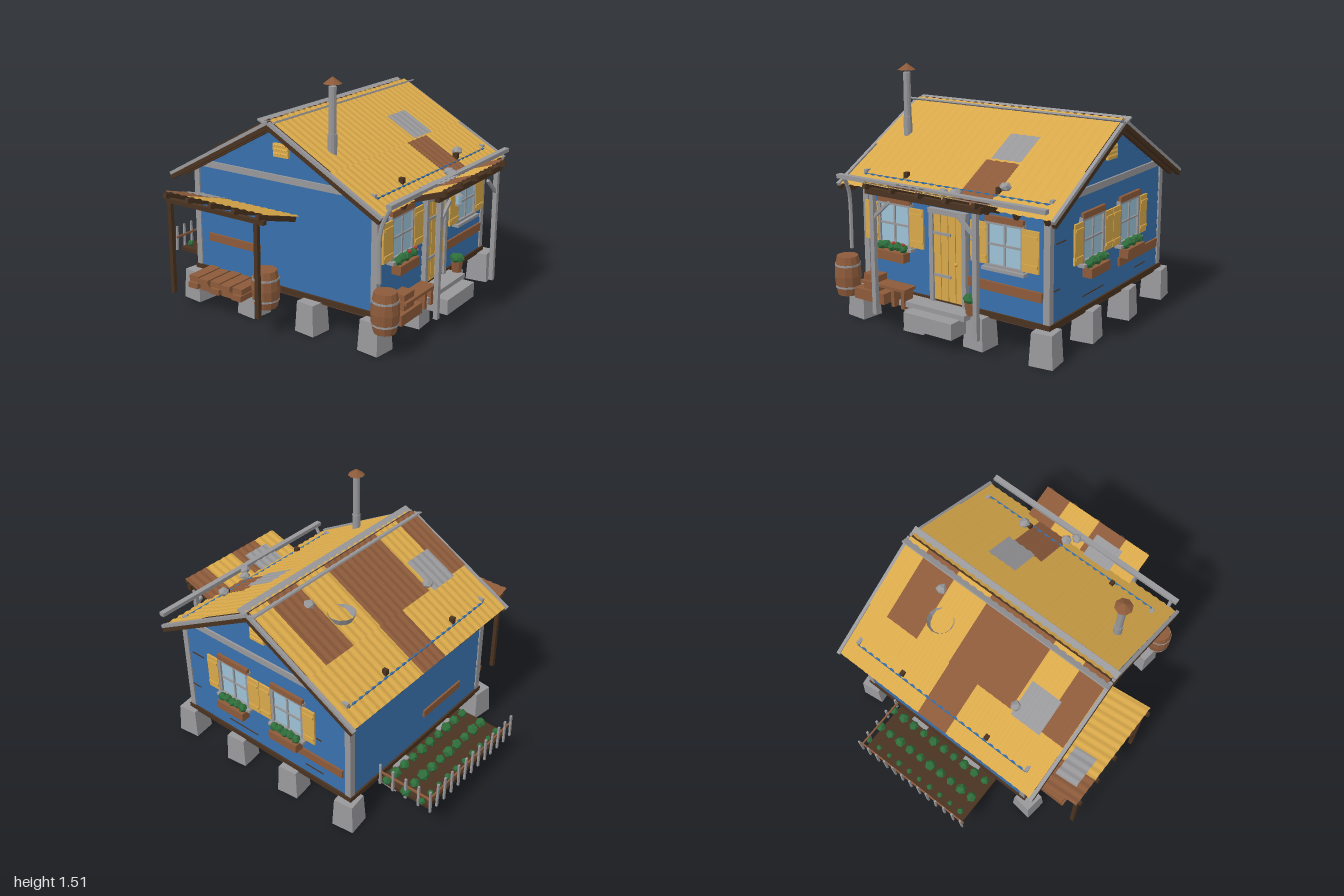
import * as THREE from 'three';

const mat = (name, color, side = THREE.FrontSide) =>
  Object.assign(new THREE.MeshStandardMaterial({ color, flatShading: true, side }), { name });
const M = {
  blue: mat('bluePaint', 0x366ca6),
  yellow: mat('yellowPaint', 0xd8a84a, THREE.DoubleSide),
  brown: mat('rustBrown', 0x8c5a3a, THREE.DoubleSide),
  floor: mat('floorWood', 0x644230),
  dark: mat('darkWood', 0x4a3220),
  grey: mat('weatheredGrey', 0x98979a, THREE.DoubleSide),
  glass: mat('glass', 0x9cc2d6),
  green: mat('leafGreen', 0x2f6e3b),
  red: mat('flowerRed', 0xb23a34),
};

function add(parent, name, geo, m, x = 0, y = 0, z = 0, rx = 0, ry = 0, rz = 0) {
  const mesh = new THREE.Mesh(geo, m);
  mesh.name = name;
  mesh.position.set(x, y, z);
  mesh.rotation.set(rx, ry, rz);
  parent.add(mesh);
  return mesh;
}
const box = (p, n, m, w, h, d, x, y, z, rx, ry, rz) => add(p, n, new THREE.BoxGeometry(w, h, d), m, x, y, z, rx, ry, rz);
// box given by its minimum and maximum corners
const span = (p, n, m, x0, x1, y0, y1, z0, z1) =>
  box(p, n, m, x1 - x0, y1 - y0, z1 - z0, (x0 + x1) / 2, (y0 + y1) / 2, (z0 + z1) / 2);
function group(parent, name, x = 0, y = 0, z = 0, rx = 0, ry = 0) {
  const g = new THREE.Group();
  g.name = name;
  g.position.set(x, y, z);
  g.rotation.set(rx, ry, 0, 'YXZ');
  parent.add(g);
  return g;
}
function blob(p, n, m, r, x, y, z, sy = 0.8) {
  const b = add(p, n, new THREE.IcosahedronGeometry(r, 0), m, x, y, z, 0, x * 17 + z * 31);
  b.scale.y = sy;
}
// corrugated sheet lying in the local xz plane, ridges along z
function sheet(p, m, x0, x1, z0, z1, lift = 0) {
  const w = x1 - x0, cx = (x0 + x1) / 2;
  const g = new THREE.PlaneGeometry(w, z1 - z0, Math.max(4, Math.round(w / 0.01)), 1).rotateX(-Math.PI / 2);
  const a = g.attributes.position;
  for (let i = 0; i < a.count; i++) a.setY(i, 0.0032 * Math.sin(((a.getX(i) + cx) * Math.PI * 2) / 0.055));
  g.computeVertexNormals();
  add(p, 'corrugatedSheet', g, m, cx, lift, (z0 + z1) / 2);
}

// window facing local +z, with shutters and an optional flower box
function windowUnit(parent, x, y, z, ry, flowerBox, sw, flowers = []) {
  const g = group(parent, 'window', x, y, z, 0, ry);
  span(g, 'glass', M.glass, -0.11, 0.11, -0.12, 0.12, 0, 0.012);
  for (const s of [-1, 1]) {
    box(g, 'frameSide', M.grey, 0.022, 0.27, 0.025, s * 0.117, 0, 0.012);
    box(g, 'frameRail', M.grey, 0.25, 0.022, 0.025, 0, s * 0.125, 0.012);
    const sh = group(g, 'shutter', s * 0.17, 0, 0.022);
    box(sh, 'shutterPanel', M.yellow, sw, 0.235, 0.012, 0, 0, 0);
    for (const t of [-1, 1]) box(sh, 'shutterBatten', M.yellow, sw - 0.01, 0.016, 0.008, 0, t * 0.08, 0.009);
  }
  box(g, 'muntin', M.grey, 0.012, 0.24, 0.016, 0, 0, 0.012);
  box(g, 'muntin', M.grey, 0.22, 0.012, 0.016, 0, 0, 0.012);
  box(g, 'header', M.brown, 0.25, 0.035, 0.02, 0, 0.145, 0.018);
  box(g, 'sill', M.grey, 0.28, 0.018, 0.045, 0, -0.138, 0.022);
  if (!flowerBox) return;
  box(g, 'flowerBox', M.brown, 0.215, 0.055, 0.06, 0, -0.183, 0.045);
  for (let i = 0; i < 5; i++) blob(g, 'plant', M.green, 0.029, -0.086 + i * 0.043, -0.132 + (i % 2) * 0.008, 0.045, 1);
  for (const fx of flowers) blob(g, 'flower', M.red, 0.012, fx, -0.104, 0.055, 1);
}

function barrel(parent, x, y, z, h, r) {
  const g = group(parent, 'barrel', x, y, z);
  const prof = [[0, 0], [0.78, 0], [0.94, 0.25], [1, 0.5], [0.94, 0.75], [0.78, 1], [0, 1]].map(([a, b]) => new THREE.Vector2(a * r, b * h));
  add(g, 'barrelBody', new THREE.LatheGeometry(prof, 12), M.brown);
  for (const t of [0.22, 0.78]) add(g, 'hoop', new THREE.CylinderGeometry(r * 0.94, r * 0.94, 0.012, 12), M.grey, 0, h * t, 0);
}

const A = 0.506, T = Math.tan(A), RY = 1.25, RZ = 0.062, L = 0.86;
const X0 = -0.52, X1 = 0.78, Z0 = -0.6, Z1 = 0.72, XC = 0.13;

function buildBody(root) {
  const g = group(root, 'house');
  // foundation blocks around the edge
  for (let i = 0; i < 4; i++) for (let j = 0; j < 4; j++) {
    if (i % 3 && j % 3) continue;
    const c = new THREE.CylinderGeometry(0.088, 0.101, 0.19, 4, 1).rotateY(Math.PI / 4);
    add(g, 'foundationBlock', c, M.grey, -0.54 + i * 0.437, 0.097, 0.73 - j * 0.437, 0, ((i * 3 + j * 5) % 5 - 2) * 0.06);
  }
  span(g, 'floorFrame', M.dark, -0.535, 0.795, 0.185, 0.22, -0.615, 0.735);
  for (let i = 0; i < 14; i++) span(g, 'floorBoard', M.floor, -0.53, 0.79, 0.178, 0.186, -0.6 + i * 0.095, -0.509 + i * 0.095);
  // wall core with gables, extruded along x
  const s = new THREE.Shape();
  [[Z0 + 0.008, 0.2], [Z1 - 0.008, 0.2], [Z1 - 0.008, 0.855], [RZ, RY - 0.035], [Z0 + 0.008, 0.855]].forEach(([a, b], i) => (i ? s.lineTo(-a, b) : s.moveTo(-a, b)));
  const core = new THREE.ExtrudeGeometry(s, { depth: X1 - X0 - 0.016, bevelEnabled: false }).rotateY(Math.PI / 2);
  add(g, 'walls', core, M.blue, X0 + 0.008, 0, 0);
  // wall tops that just show through the valleys of the roof sheets
  for (const sd of [-1, 1]) box(g, 'wallTop', M.blue, X1 - X0, 0.05, 0.013, XC, RY - 0.65 * T + 0.0015 - 0.025, RZ + sd * 0.65);
  // overlapping siding boards
  for (let k = 0; k < 16; k++) {
    const y = 0.25 + k * 0.06, half = Math.min(0.66, (RY - 0.025 - y - 0.03) / T);
    if (k < 11) for (const sd of [-1, 1]) box(g, 'siding', M.blue, X1 - X0, 0.062, 0.008, XC, Math.min(y, 0.842), sd > 0 ? Z1 - 0.005 : Z0 + 0.005, -sd * 0.12);
    if (half > 0.03) for (const sd of [-1, 1]) box(g, 'siding', M.blue, 0.008, 0.062, half * 2, sd > 0 ? X1 - 0.005 : X0 + 0.005, y, 0.06, 0, 0, sd * 0.12);
  }
  // corner posts and gable trim
  for (const [x, e] of [[X0, 1], [X1, -1]]) {
    for (const [z, f] of [[Z0, 1], [Z1, -1]]) box(g, 'cornerPost', M.grey, 0.04, 0.65, 0.04, x + e * 0.012, 0.545, z + f * 0.012);
    box(g, 'gableTrim', M.grey, 0.022, 0.04, 1.3, x, 0.89, 0.06);
    const v = group(g, 'gableVent', x, 1.06, 0.07);
    box(v, 'ventPanel', M.yellow, 0.03, 0.08, 0.11, 0, 0, 0);
    for (let i = 0; i < 3; i++) box(v, 'ventSlat', M.yellow, 0.04, 0.01, 0.1, 0, -0.025 + i * 0.025, 0, 0, 0, -e * 0.5);
  }
  // windows
  windowUnit(g, -0.275, 0.62, Z1, 0, true, 0.1, [0.02, 0.09]);
  windowUnit(g, 0.505, 0.62, Z1, 0, false, 0.11);
  windowUnit(g, X1, 0.615, 0.287, Math.PI / 2, true, 0.088);
  windowUnit(g, X1, 0.615, -0.145, Math.PI / 2, true, 0.088);
  // repair planks
  box(g, 'repairPlank', M.brown, 0.49, 0.055, 0.014, 0.495, 0.37, Z1 + 0.006, 0, 0, -0.01);
  box(g, 'repairPlank', M.brown, 0.014, 0.055, 0.5, X1 + 0.006, 0.37, -0.3);
  box(g, 'repairPlank', M.brown, 0.52, 0.055, 0.014, -0.22, 0.75, Z0 - 0.006, 0, 0, 0.02);
  box(g, 'repairPlank', M.brown, 0.38, 0.05, 0.014, -0.1, 0.39, Z0 - 0.006);
  box(g, 'repairPlank', M.brown, 0.014, 0.05, 0.4, X0 - 0.006, 0.42, -0.3);
  // cracks in the paint
  for (const [y, z, w] of [[0.66, 0.61, 0.1], [0.53, -0.36, 0.06], [0.28, 0.25, 0.24], [0.28, -0.33, 0.14], [0.4, 0.66, 0.08]])
    box(g, 'crack', M.dark, 0.006, 0.005, w, X1 + 0.004, y, z);
  // door
  const d = group(g, 'door', 0.118, 0, Z1);
  box(d, 'doorBacking', M.dark, 0.21, 0.51, 0.01, 0, 0.475, 0.006);
  for (let i = 0; i < 4; i++) box(d, 'doorPlank', M.yellow, 0.047, 0.51, 0.012, -0.078 + i * 0.052, 0.475, 0.012);
  for (const e of [-1, 1]) box(d, 'doorJamb', M.grey, 0.028, 0.55, 0.04, e * 0.116, 0.48, 0.01);
  box(d, 'doorLintel', M.grey, 0.27, 0.03, 0.045, 0, 0.748, 0.01);
  for (const y of [0.37, 0.62]) box(d, 'hinge', M.grey, 0.12, 0.016, 0.008, -0.04, y, 0.022);
  add(d, 'knob', new THREE.IcosahedronGeometry(0.011, 1), M.yellow, 0.06, 0.455, 0.028);
  // steps
  span(g, 'upperStep', M.grey, -0.16, 0.31, 0.175, 0.208, 0.72, 0.85);
  span(g, 'lowerStep', M.grey, -0.06, 0.28, 0.085, 0.18, 0.74, 0.93);
}

function buildRoof(root) {
  const roof = group(root, 'roof');
  const slope = (name, back) => {
    const g = group(roof, name, 0, RY, RZ, A, back ? Math.PI : 0);
    const f = back ? -1 : 1;
    for (let i = 0; i < 8; i++) box(g, 'rafter', M.dark, 0.026, 0.036, 0.855, f * (-0.55 + i * 0.194), -0.026, 0.43);
    for (const x of [-0.638, 0.86]) {
      box(g, 'bargeboard', M.grey, 0.022, 0.02, L, f * x, -0.004, L / 2 + 0.01);
      box(g, 'edgeRafter', M.dark, 0.024, 0.026, L, f * x, -0.027, L / 2 + 0.01);
    }
    return (m, x0, x1, z0, z1, lift) => sheet(g, m, Math.min(f * x0, f * x1), Math.max(f * x0, f * x1), z0, z1, lift);
  };
  // front sheets
  const F = slope('frontSlope', false);
  F(M.yellow, -0.625, 0.85, 0, 0.49, 0.012);
  F(M.yellow, -0.625, 0.2, 0.47, L, 0);
  F(M.brown, 0.2, 0.425, 0.47, L, 0.001);
  F(M.yellow, 0.425, 0.85, 0.47, L, 0);
  F(M.grey, 0.25, 0.455, 0.26, 0.49, 0.026);
  // back sheets
  const B = slope('backSlope', true);
  for (const [m, a, b] of [[M.brown, -0.625, -0.45], [M.yellow, -0.45, -0.24], [M.brown, -0.24, 0.23], [M.yellow, 0.23, 0.475], [M.brown, 0.475, 0.71], [M.yellow, 0.71, 0.85]]) B(m, a, b, 0, 0.49, 0.012);
  for (const [m, a, b] of [[M.yellow, -0.625, 0.012], [M.brown, 0.012, 0.228], [M.yellow, 0.228, 0.85]]) B(m, a, b, 0.47, L, 0);
  B(M.grey, -0.47, -0.26, 0.27, 0.51, 0.028);
  // ridge boards, gutter and downspout
  for (const s of [-1, 1]) box(roof, 'ridgeBoard', M.grey, 1.52, 0.01, 0.06, 0.11, RY - 0.003, RZ + s * 0.038, -s * 0.4);
  box(roof, 'ridgeBeam', M.dark, 1.48, 0.04, 0.03, 0.11, RY - 0.022, RZ);
  box(roof, 'gutter', M.grey, 1.45, 0.025, 0.035, 0.115, 0.887, 0.845);
  const pipe = new THREE.CatmullRomCurve3([[-0.57, 0.88, 0.84], [-0.575, 0.8, 0.8], [-0.585, 0.72, 0.78], [-0.585, 0.43, 0.78]].map((p) => new THREE.Vector3(...p)));
  add(roof, 'downspout', new THREE.TubeGeometry(pipe, 12, 0.012, 6), M.grey);
  // chimney
  const c = group(roof, 'chimney', -0.46, 0, 0.38);
  add(c, 'pipe', new THREE.CylinderGeometry(0.023, 0.023, 0.4, 10), M.grey, 0, 1.26, 0);
  add(c, 'lowerPipe', new THREE.CylinderGeometry(0.027, 0.027, 0.12, 10), M.grey, 0, 1.13, 0);
  add(c, 'cap', new THREE.ConeGeometry(0.055, 0.04, 8), M.brown, 0, 1.495, 0);
  // loose things on the roof
  add(roof, 'oldBasin', new THREE.CylinderGeometry(0.085, 0.065, 0.045, 12, 1, true), M.grey, 0.4, 1.122, -0.225);
  for (const [x, y, z] of [[-0.26, 1.055, -0.345], [0.51, 1.19, -0.075], [0.47, 0.935, 0.68], [0.2, 0.88, 0.77], [0.15, 0.885, 0.82]])
    blob(roof, 'stone', M.grey, 0.037, x, y, z, 0.75);
  for (const x of [-0.215, 0.435]) for (const z of [0.69, -0.57]) box(roof, 'peg', M.dark, 0.026, 0.04, 0.03, x, 0.91, z);
}

function buildAwnings(root) {
  // porch awning
  const p = group(root, 'porchAwning', 0, 0.838, 0.77, -0.33);
  for (const [m, a, b] of [[M.yellow, -0.29, -0.11], [M.brown, -0.11, 0.1], [M.yellow, 0.1, 0.335], [M.brown, 0.335, 0.515]]) sheet(p, m, a, b, 0, 0.232, 0.01);
  sheet(p, M.grey, -0.14, 0.06, 0, 0.155, 0.026);
  for (let i = 0; i < 5; i++) box(p, 'rafter', M.dark, 0.024, 0.03, 0.24, -0.265 + i * 0.188, -0.014, 0.12);
  box(root, 'porchBeam', M.dark, 0.8, 0.035, 0.03, 0.113, 0.868, 0.957);
  for (const s of [-1, 1]) {
    const x = 0.112 + s * 0.357;
    box(root, 'porchPost', M.grey, 0.028, 0.72, 0.028, x, 0.5, 0.955);
    box(root, 'porchBrace', M.grey, 0.018, 0.16, 0.018, x - s * 0.058, 0.765, 0.955, 0, 0, s * 0.85);
  }
  // side awning
  const g = group(root, 'sideAwning', -0.54, 0.685, 0, -0.3, -Math.PI / 2);
  sheet(g, M.brown, -0.55, -0.36, 0, 0.345, 0.01);
  sheet(g, M.yellow, -0.36, 0.21, 0, 0.345, 0.01);
  sheet(g, M.grey, -0.46, -0.25, 0.12, 0.28, 0.026);
  for (let i = 0; i < 5; i++) box(g, 'rafter', M.dark, 0.024, 0.03, 0.355, -0.52 + i * 0.173, -0.014, 0.178);
  for (const z of [-0.51, 0.14]) box(root, 'sidePost', M.dark, 0.026, 0.57, 0.026, -0.85, 0.44, z);
  box(root, 'sideBeam', M.dark, 0.026, 0.026, 0.74, -0.85, 0.74, -0.17);
}

function buildYard(root) {
  barrel(root, -0.585, 0.155, 0.82, 0.24, 0.083);
  barrel(root, -0.69, 0.155, 0.07, 0.23, 0.087);
  // bench with crates
  const b = group(root, 'bench');
  span(b, 'crate', M.brown, -0.49, -0.26, 0.16, 0.225, 0.77, 0.87);
  span(b, 'smallCrate', M.brown, -0.43, -0.32, 0.225, 0.32, 0.77, 0.85);
  span(b, 'seat', M.brown, -0.44, -0.1, 0.265, 0.282, 0.77, 0.87);
  for (const x of [-0.2, -0.125]) span(b, 'benchLeg', M.brown, x - 0.012, x + 0.012, 0.16, 0.266, 0.78, 0.86);
  // plank pile beside the left wall
  for (let r = 0; r < 2; r++) for (let i = 0; i < 5; i++)
    box(root, 'pilePlank', M.brown, 0.2, 0.036, 0.072, -0.65 + ((i + r) % 2) * 0.012, 0.178 + r * 0.04, -0.45 + i * 0.085);
  // potted plant and lantern
  add(root, 'pot', new THREE.CylinderGeometry(0.04, 0.03, 0.075, 8), M.brown, 0.315, 0.24, 0.79);
  for (let i = 0; i < 4; i++) blob(root, 'potPlant', M.green, 0.036, 0.315 + Math.cos(i * 1.6) * 0.016, 0.297, 0.79 + Math.sin(i * 1.6) * 0.016);
  const l = group(root, 'lantern', 0.33, 0.67, 0.775);
  add(l, 'lanternGlass', new THREE.CylinderGeometry(0.022, 0.018, 0.055, 6), M.glass);
  add(l, 'lanternTop', new THREE.ConeGeometry(0.032, 0.025, 6), M.grey, 0, 0.04, 0);
  add(l, 'lanternBase', new THREE.CylinderGeometry(0.024, 0.024, 0.012, 6), M.grey, 0, -0.03, 0);
  box(l, 'lanternArm', M.grey, 0.01, 0.01, 0.06, 0, 0.055, -0.025);
  // garden bed with rows of plants
  const g = group(root, 'garden');
  span(g, 'soil', M.dark, -0.3, 0.52, 0.155, 0.18, -0.965, -0.6);
  for (let i = 0; i < 10; i++) [[-0.67, 0.034], [-0.81, 0.036], [-0.925, 0.021]].forEach(([z, r], j) =>
    blob(g, 'gardenPlant', M.green, r * (0.88 + ((i * 7 + j) % 3) * 0.1), -0.25 + i * 0.0865, 0.19 + r * 0.4, z, 1));
  // fence
  for (let i = 0; i < 13; i++) box(g, 'picket', M.grey, 0.014, 0.165, 0.012, -0.31 + i * 0.0705, 0.238, -0.99, 0, 0, ((i * 5) % 4 - 1.5) * 0.03);
  for (let i = 0; i < 4; i++) box(g, 'picket', M.grey, 0.012, 0.15, 0.014, 0.54, 0.238, -0.63 - i * 0.093);
  box(g, 'fenceRail', M.brown, 0.87, 0.012, 0.01, 0.11, 0.25, -0.98);
  box(g, 'fenceRail', M.brown, 0.01, 0.012, 0.37, 0.532, 0.25, -0.805);
}

export function createModel() {
  const root = new THREE.Group();
  root.name = 'cottage';
  buildBody(root);
  buildRoof(root);
  buildAwnings(root);
  buildYard(root);
  return root;
}
